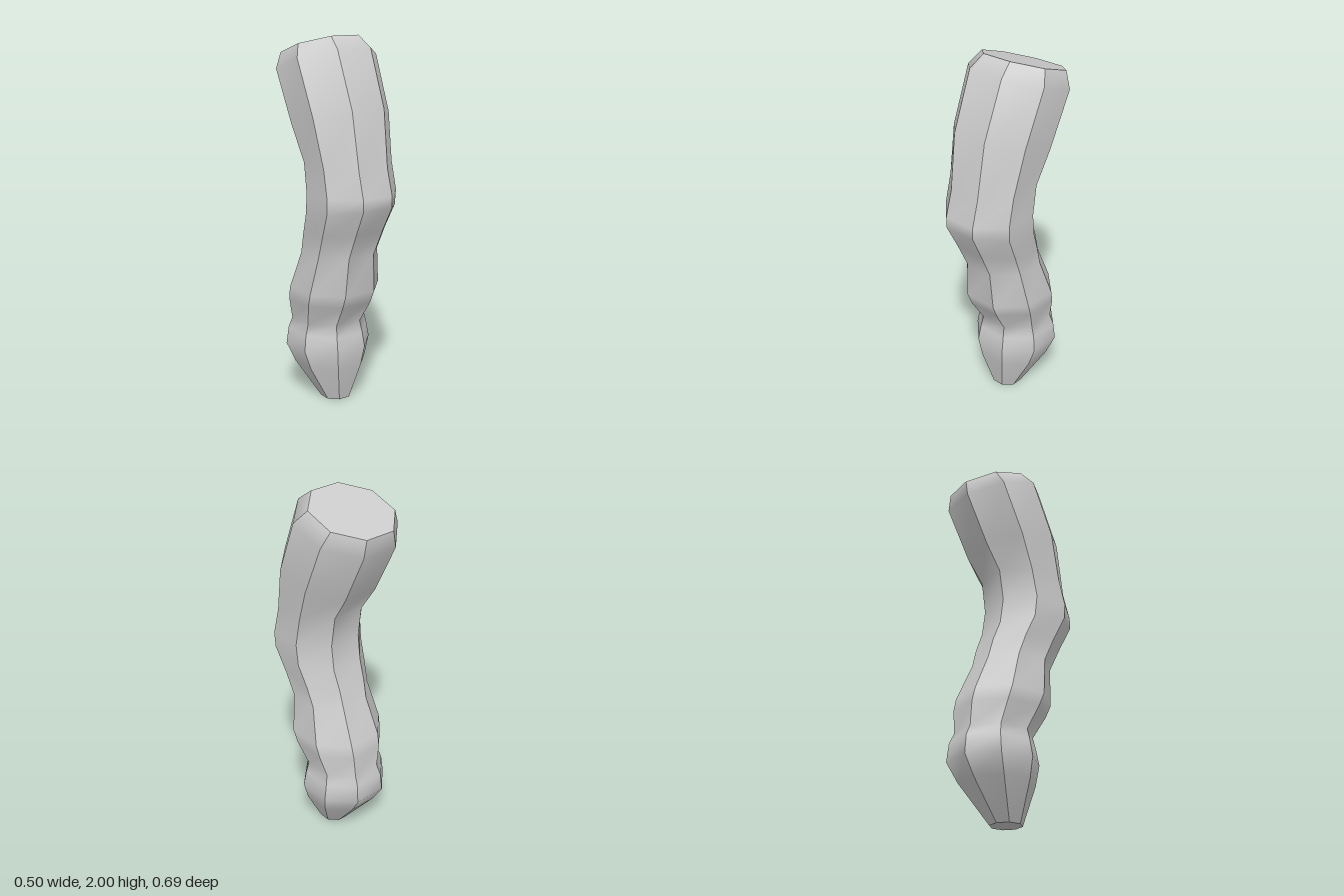
import * as THREE from 'three';

// Cross-sections from bottom to top: front z, front y, back z, back y, half width
const RINGS = [
  [0.06, 0, -0.095, 0, 0.08],
  [0.11, 0.2, -0.255, 0.2, 0.185],
  [0.125, 0.31, -0.315, 0.3, 0.22],
  [0.11, 0.39, -0.305, 0.4, 0.207],
  [0.095, 0.455, -0.28, 0.455, 0.19],
  [0.17, 0.58, -0.28, 0.58, 0.223],
  [0.2, 0.65, -0.265, 0.65, 0.23],
  [0.21, 0.86, -0.18, 0.85, 0.196],
  [0.275, 1.0, -0.155, 0.95, 0.207],
  [0.345, 1.14, -0.115, 1.06, 0.222],
  [0.345, 1.2, -0.097, 1.2, 0.224],
  [0.305, 1.34, -0.12, 1.37, 0.22],
  [0.26, 1.64, -0.21, 1.51, 0.243],
  [0.14, 1.94, -0.34, 1.78, 0.252],
  [0.06, 2.0, -0.34, 1.87, 0.208],
];
const SIDES = 8;

// Corner k of an octagonal ring whose flat sides face front and back
function corner([fz, fy, bz, by, w], k) {
  const a = ((k + 0.5) * Math.PI * 2) / SIDES;
  const r = 1 / Math.cos(Math.PI / SIDES);
  const t = Math.cos(a) * r;
  return [
    w * Math.sin(a) * r,
    (fy + by) / 2 + (t * (fy - by)) / 2,
    (fz + bz) / 2 + (t * (fz - bz)) / 2,
  ];
}

function makeMesh(name, positions, index, material) {
  const geometry = new THREE.BufferGeometry();
  geometry.setAttribute('position', new THREE.Float32BufferAttribute(positions, 3));
  geometry.setIndex(index);
  geometry.computeVertexNormals();
  const mesh = new THREE.Mesh(geometry, material);
  mesh.name = name;
  return mesh;
}

export function createModel() {
  const group = new THREE.Group();
  group.name = 'curvedStalk';
  const material = new THREE.MeshStandardMaterial({ color: 0xcccccc });

  // Body: eight separate strips, smooth lengthwise and creased between sides
  const positions = [], index = [];
  for (let k = 0; k < SIDES; k++) {
    RINGS.forEach((ring, i) => {
      const a = positions.length / 3;
      positions.push(...corner(ring, k), ...corner(ring, k + 1));
      if (i < RINGS.length - 1) index.push(a, a + 1, a + 3, a, a + 3, a + 2);
    });
  }
  group.add(makeMesh('body', positions, index, material));

  // Flat octagonal ends
  const addCap = (name, ring, up) => {
    const points = [], faces = [];
    for (let k = 0; k < SIDES; k++) points.push(...corner(ring, k));
    for (let k = 1; k < SIDES - 1; k++) faces.push(0, ...(up ? [k, k + 1] : [k + 1, k]));
    group.add(makeMesh(name, points, faces, material));
  };
  addCap('bottomCap', RINGS[0], false);
  addCap('topCap', RINGS[RINGS.length - 1], true);

  return group;
}
